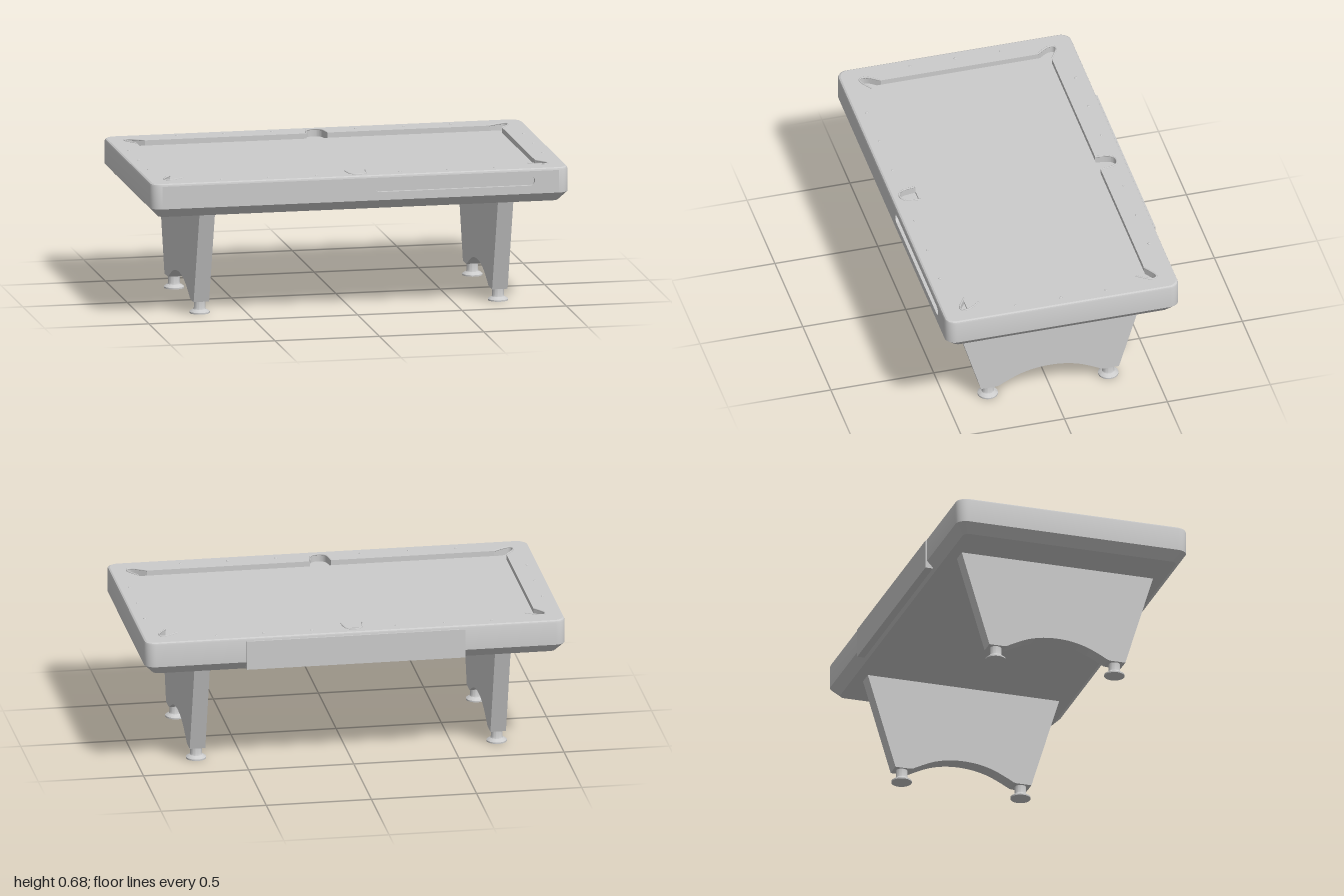
import * as THREE from 'three';
import { toCreasedNormals } from 'three/addons/utils/BufferGeometryUtils.js';

const grey = new THREE.MeshStandardMaterial({ color: 0xcccccc });
const TOP = 0.68, HALF_X = 1, HALF_Z = 0.567, CORNER = 0.05, STEPS = 8;

function add(parent, name, geometry, x = 0, y = 0, z = 0) {
  const mesh = new THREE.Mesh(geometry, grey);
  mesh.name = name;
  mesh.position.set(x, y, z);
  parent.add(mesh);
  return mesh;
}

// Rounded rectangle outline of the table, shrunk by an inset
function outline(inset) {
  const pts = [];
  const signs = [[1, 1], [-1, 1], [-1, -1], [1, -1]];
  signs.forEach(([sx, sz], k) => {
    for (let i = 0; i <= STEPS; i++) {
      const a = (k + i / STEPS) * Math.PI / 2, r = CORNER - inset * 0.5;
      pts.push(new THREE.Vector2(
        sx * (HALF_X - inset - r) + r * Math.cos(a),
        sz * (HALF_Z - inset - r) + r * Math.sin(a)));
    }
  });
  return pts;
}

// Outer skin: chamfered below, softened on top, open where the front panel sits
function skinGeometry() {
  const rings = [[0.515, 0.042], [0.56, 0], [0.668, 0], [0.676, 0.003], [TOP, 0.01]];
  const pos = [], index = [], n = 4 * (STEPS + 1);
  for (const [y, inset] of rings) for (const p of outline(inset)) pos.push(p.x, y, p.y);
  for (let j = 0; j < rings.length - 1; j++) {
    for (let i = 0; i < n; i++) {
      if (j === 1 && i === STEPS) continue;
      const a = j * n + i, b = j * n + (i + 1) % n;
      index.push(b, a, a + n, b, a + n, b + n);
    }
  }
  const g = new THREE.BufferGeometry();
  g.setAttribute('position', new THREE.Float32BufferAttribute(pos, 3));
  g.setIndex(index);
  return toCreasedNormals(g, 0.6);
}

const curve = (list) => new THREE.SplineCurve(list.map(([x, y]) => new THREE.Vector2(x, y)));
const sidePocket = curve([[-0.05, 0.437], [-0.041, 0.495], [-0.025, 0.52], [0, 0.527],
  [0.025, 0.52], [0.041, 0.495], [0.05, 0.437]]).getPoints(24);
const cornerPocket = curve([[0.825, 0.437], [0.88, 0.471], [0.905, 0.476], [0.918, 0.46],
  [0.911, 0.43], [0.875, 0.38]]).getPoints(20);

// Playing opening with the six pocket bays, mirrored from one quarter
function openingPath() {
  const quarter = [...sidePocket.slice(12), ...cornerPocket];
  const flip = (sx, sz) => quarter.map((p) => new THREE.Vector2(p.x * sx, p.y * sz));
  return new THREE.Path([
    ...flip(1, 1), ...flip(1, -1).reverse(), ...flip(-1, -1).slice(1),
    ...flip(-1, 1).reverse().slice(0, -1)]);
}

function buildTable(parent) {
  const table = new THREE.Group();
  table.name = 'tableBody';
  parent.add(table);
  add(table, 'outerSkin', skinGeometry());

  const underside = new THREE.ShapeGeometry(new THREE.Shape(outline(0.042)));
  add(table, 'underside', underside.rotateX(Math.PI / 2), 0, 0.515, 0);

  const railShape = new THREE.Shape(outline(0.01));
  railShape.holes.push(openingPath());
  const rail = new THREE.ExtrudeGeometry(railShape, { depth: 0.04, bevelEnabled: false });
  add(table, 'topRail', rail.rotateX(Math.PI / 2), 0, TOP, 0);
  add(table, 'pocketFloor', new THREE.BoxGeometry(1.9, 0.03, 1.05), 0, 0.63, 0);
  add(table, 'playingBed', new THREE.BoxGeometry(1.75, 0.03, 0.874), 0, 0.64, 0);

  // Front panel with the long ball window
  const panel = new THREE.Shape();
  const px = HALF_X - CORNER;
  panel.moveTo(-px, 0.56).lineTo(px, 0.56).lineTo(px, 0.668).lineTo(-px, 0.668).closePath();
  const slot = new THREE.Path(), r = 0.023, sy = 0.622;
  slot.absarc(0.093, sy, r, -Math.PI / 2, Math.PI / 2, true);
  slot.absarc(0.812, sy, r, Math.PI / 2, -Math.PI / 2, true);
  slot.closePath();
  panel.holes.push(slot);
  add(table, 'frontPanel', new THREE.ExtrudeGeometry(panel,
    { depth: 0.018, bevelEnabled: false, curveSegments: 16 }), 0, 0, HALF_Z - 0.018);
  add(table, 'ballWindow', new THREE.BoxGeometry(0.8, 0.06, 0.01), 0.4525, sy, HALF_Z - 0.022);
  add(table, 'backPanel', new THREE.BoxGeometry(1.04, 0.14, 0.036), 0, 0.595, -0.557);
}

// Thin raised rims around the pockets
function buildPocketRims(parent) {
  const rim = (name, pts, sx, sz) => {
    const path = new THREE.CatmullRomCurve3(
      pts.map((p) => new THREE.Vector3(p.x * sx, TOP, p.y * sz)));
    add(parent, name, new THREE.TubeGeometry(path, 32, 0.004, 8, false));
  };
  for (const sz of [1, -1]) {
    rim('sidePocketRim', sidePocket, 1, sz);
    for (const sx of [1, -1]) rim('cornerPocketRim', cornerPocket, sx, sz);
  }
}

// Small sight markers on the rail
function buildSights(parent) {
  const dot = new THREE.SphereGeometry(0.007, 12, 8).scale(1, 0.5, 1);
  for (const s of [1, -1]) {
    for (const x of [0.2, 0.43, 0.655]) {
      for (const m of [1, -1]) add(parent, 'sightMarker', dot, x * m, TOP, 0.508 * s);
    }
    for (const z of [-0.22, 0, 0.22]) add(parent, 'sightMarker', dot, 0.945 * s, TOP, z);
  }
}

// Tapered slab leg with an arched foot edge and two levelling feet
function buildLeg(parent, x) {
  const leg = new THREE.Group();
  leg.name = x > 0 ? 'leftLeg' : 'rightLeg';
  leg.position.x = x;
  parent.add(leg);

  const arch = curve([[0.25, 0.062], [0.2, 0.088], [0.14, 0.114], [0.07, 0.131], [0, 0.136],
    [-0.07, 0.131], [-0.14, 0.114], [-0.2, 0.088], [-0.25, 0.062]]).getPoints(32);
  const shape = new THREE.Shape([
    ...[[-0.335, 0.06], [-0.473, 0.52], [0.473, 0.52], [0.335, 0.06], [0.262, 0.06]]
      .map(([a, b]) => new THREE.Vector2(a, b)),
    ...arch, new THREE.Vector2(-0.262, 0.06)]);
  const slab = new THREE.ExtrudeGeometry(shape, { depth: 0.074, bevelEnabled: false });
  slab.translate(0, 0, -0.037).rotateY(Math.PI / 2);
  add(leg, 'legSlab', toCreasedNormals(slab, 0.5));

  const profile = [[0, 0], [0.048, 0], [0.048, 0.007], [0.04, 0.013], [0.03, 0.019],
    [0.027, 0.026], [0.027, 0.062]].map(([a, b]) => new THREE.Vector2(a, b));
  const foot = toCreasedNormals(new THREE.LatheGeometry(profile, 32), 0.6);
  for (const s of [1, -1]) add(leg, 'levellingFoot', foot, 0, 0, 0.293 * s);
}

export function createModel() {
  const model = new THREE.Group();
  model.name = 'poolTable';
  const parts = new THREE.Group();
  parts.name = 'tableParts';
  parts.position.z = 0.003;
  model.add(parts);
  buildTable(parts);
  buildPocketRims(parts);
  buildSights(parts);
  for (const s of [1, -1]) buildLeg(parts, 0.715 * s);
  return model;
}
